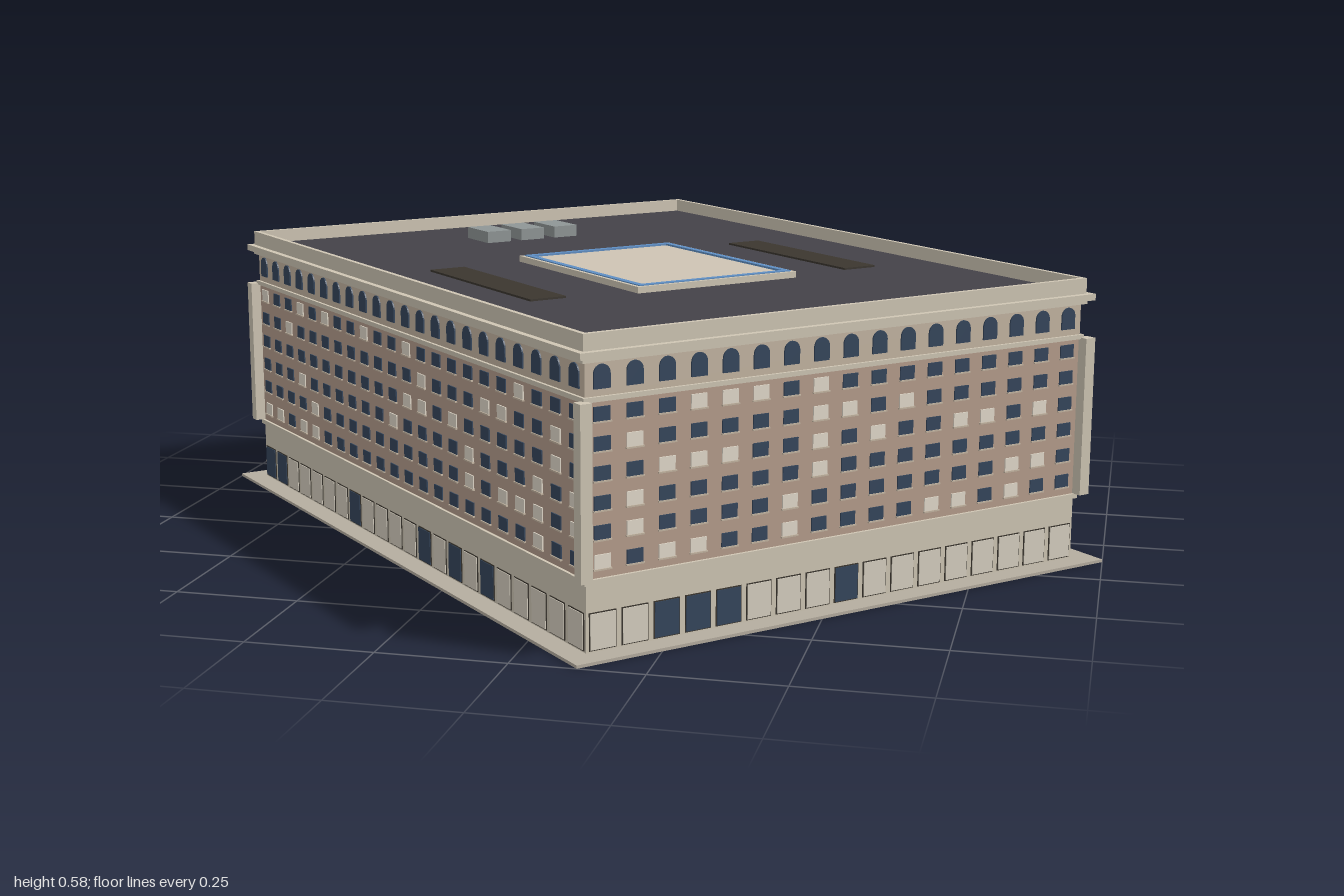
import * as THREE from 'three';
import { mergeGeometries } from 'three/addons/utils/BufferGeometryUtils.js';

const mat = (color) => new THREE.MeshStandardMaterial({ color });
const M = {
  stone: mat(0xcfc6b4), brick: mat(0xb59d8c), attic: mat(0xc4b5a2), paving: mat(0xb5ad9f),
  roof: mat(0x444248), vent: mat(0x3b362f), metal: mat(0x8f9696), blue: mat(0x5f8fc4),
  panel: mat(0xcec4b4), dark: mat(0x35465c), lit: mat(0xe2dacb), shop: mat(0xd6cfc0),
};
const A = 0.75, B = 0.573; // half length and half width of the block

function add(parent, name, geometry, material) {
  const mesh = new THREE.Mesh(geometry, material);
  mesh.name = name;
  parent.add(mesh);
  return mesh;
}

// Box from y0 to y1, centred on (x, z)
function slab(parent, name, w, d, y0, y1, material, x = 0, z = 0) {
  const mesh = add(parent, name, new THREE.BoxGeometry(w, y1 - y0, d), material);
  mesh.position.set(x, (y0 + y1) / 2, z);
  return mesh;
}

// Rectangular ring from y0 to y1
function ring(parent, name, w, d, t, y0, y1, material, x = 0, z = 0) {
  const rect = (S, a, b) => new S([[-a, -b], [a, -b], [a, b], [-a, b]].map(([p, q]) => new THREE.Vector2(p, q)));
  const shape = rect(THREE.Shape, w / 2, d / 2);
  shape.holes.push(rect(THREE.Path, w / 2 - t, d / 2 - t));
  const g = new THREE.ExtrudeGeometry(shape, { depth: y1 - y0, bevelEnabled: false });
  g.rotateX(-Math.PI / 2);
  add(parent, name, g, material).position.set(x, y0, z);
}

function seeded(seed) {
  return () => (seed = (seed * 16807) % 2147483647) / 2147483647;
}

function archShape(w, h) {
  const s = new THREE.Shape();
  s.moveTo(-w / 2, 0);
  s.lineTo(w / 2, 0);
  s.lineTo(w / 2, h - w / 2);
  s.absarc(0, h - w / 2, w / 2, 0, Math.PI, false);
  s.closePath();
  return s;
}

// One wall's openings, facing +z with the wall plane at z = 0
function facade(name, width, columns, darkShops, seed) {
  const g = new THREE.Group();
  g.name = name;
  const rand = seeded(seed), step = width / columns;
  const sets = { dark: [], lit: [], shop: [], darkShop: [], arch: [], sill: [], frame: [] };
  const box = (set, w, h, d, x, y) => sets[set].push(new THREE.BoxGeometry(w, h, d).translate(x, y, 0));
  for (let i = 0; i < columns; i++) {
    const x = (i + 0.5) * step - width / 2;
    // Shopfront with a thin dark surround
    box('frame', 0.056, 0.071, 0.003, x, 0.0445);
    box(darkShops.includes(i) ? 'darkShop' : 'shop', 0.052, 0.067, 0.006, x, 0.0445);
    // Six storeys of windows
    for (let r = 0; r < 6; r++) {
      const y = 0.172 + r * 0.0535;
      box(rand() < 0.24 ? 'lit' : 'dark', 0.034, 0.026, 0.005, x, y);
      box('sill', 0.038, 0.003, 0.009, x, y - 0.0145);
    }
    // Arched attic window
    sets.arch.push(new THREE.ExtrudeGeometry(archShape(0.034, 0.044),
      { depth: 0.003, bevelEnabled: false, curveSegments: 6 }).translate(x, 0.484, 0));
  }
  const parts = [['darkWindows', 'dark', M.dark], ['litWindows', 'lit', M.lit], ['shopfronts', 'shop', M.shop],
    ['darkShopfronts', 'darkShop', M.dark], ['archedWindows', 'arch', M.dark], ['windowSills', 'sill', M.attic],
    ['shopfrontFrames', 'frame', M.vent]];
  for (const [label, key, material] of parts) {
    if (sets[key].length) add(g, label, mergeGeometries(sets[key]), material);
  }
  return g;
}

export function createModel() {
  const model = new THREE.Group();
  model.name = 'officeBlock';
  const block = new THREE.Group();
  block.name = 'block';
  block.rotation.y = -Math.PI / 4;
  model.add(block);

  // Stacked storeys, wider bands between them
  const layer = (name, out, y0, y1, material) => slab(block, name, 2 * (A + out), 2 * (B + out), y0, y1, material);
  layer('pavement', 0.0455, 0, 0.006, M.paving);
  layer('groundFloor', 0, 0.006, 0.132, M.stone);
  layer('lowerBand', 0.006, 0.132, 0.142, M.stone);
  layer('brickStoreys', 0, 0.142, 0.462, M.brick);
  layer('upperBand', 0.006, 0.462, 0.471, M.stone);
  layer('atticStorey', 0, 0.471, 0.533, M.attic);
  layer('corniceMoulding', 0.009, 0.533, 0.541, M.stone);
  layer('cornice', 0.02, 0.541, 0.554, M.stone);
  layer('roofDeck', -0.003, 0.554, 0.557, M.roof);
  ring(block, 'parapet', 2 * A + 0.014, 2 * B + 0.014, 0.01, 0.554, 0.585, M.stone);

  // Corner piers
  for (const sx of [-1, 1]) for (const sz of [-1, 1]) {
    slab(block, 'cornerPier', 0.024, 0.024, 0.142, 0.465, M.stone, sx * (A + 0.01), sz * (B + 0.01));
  }

  // Four facades
  const walls = [
    ['frontLeftFacade', 2 * A, 22, [0, 1, 7, 12, 14, 16], B],
    ['frontRightFacade', 2 * B, 17, [2, 3, 4, 8], A],
    ['backRightFacade', 2 * A, 22, [1, 6, 7, 13, 14, 16, 17, 19], B],
    ['backLeftFacade', 2 * B, 17, [1, 3, 12], A],
  ];
  walls.forEach(([name, width, columns, shops, out], i) => {
    const wall = facade(name, width, columns, shops, 1234 + 777 * i);
    wall.rotation.y = i * Math.PI / 2;
    wall.position.set(Math.sin(wall.rotation.y) * out, 0, Math.cos(wall.rotation.y) * out);
    block.add(wall);
  });

  // Central rooflight
  ring(block, 'rooflightCurb', 0.495, 0.385, 0.008, 0.557, 0.57, M.stone, 0.058);
  ring(block, 'rooflightFrame', 0.479, 0.369, 0.014, 0.557, 0.572, M.blue, 0.058);
  slab(block, 'rooflightPanel', 0.451, 0.341, 0.557, 0.568, M.panel, 0.058);

  // Flat roof vents and cooling units
  for (const s of [-1, 1]) slab(block, 'roofVent', 0.44, 0.08, 0.557, 0.561, M.vent, 0.056, s * 0.38);
  for (const z of [-0.086, 0.002, 0.09]) slab(block, 'coolingUnit', 0.1, 0.06, 0.557, 0.583, M.metal, -0.527, z);

  return model;
}
